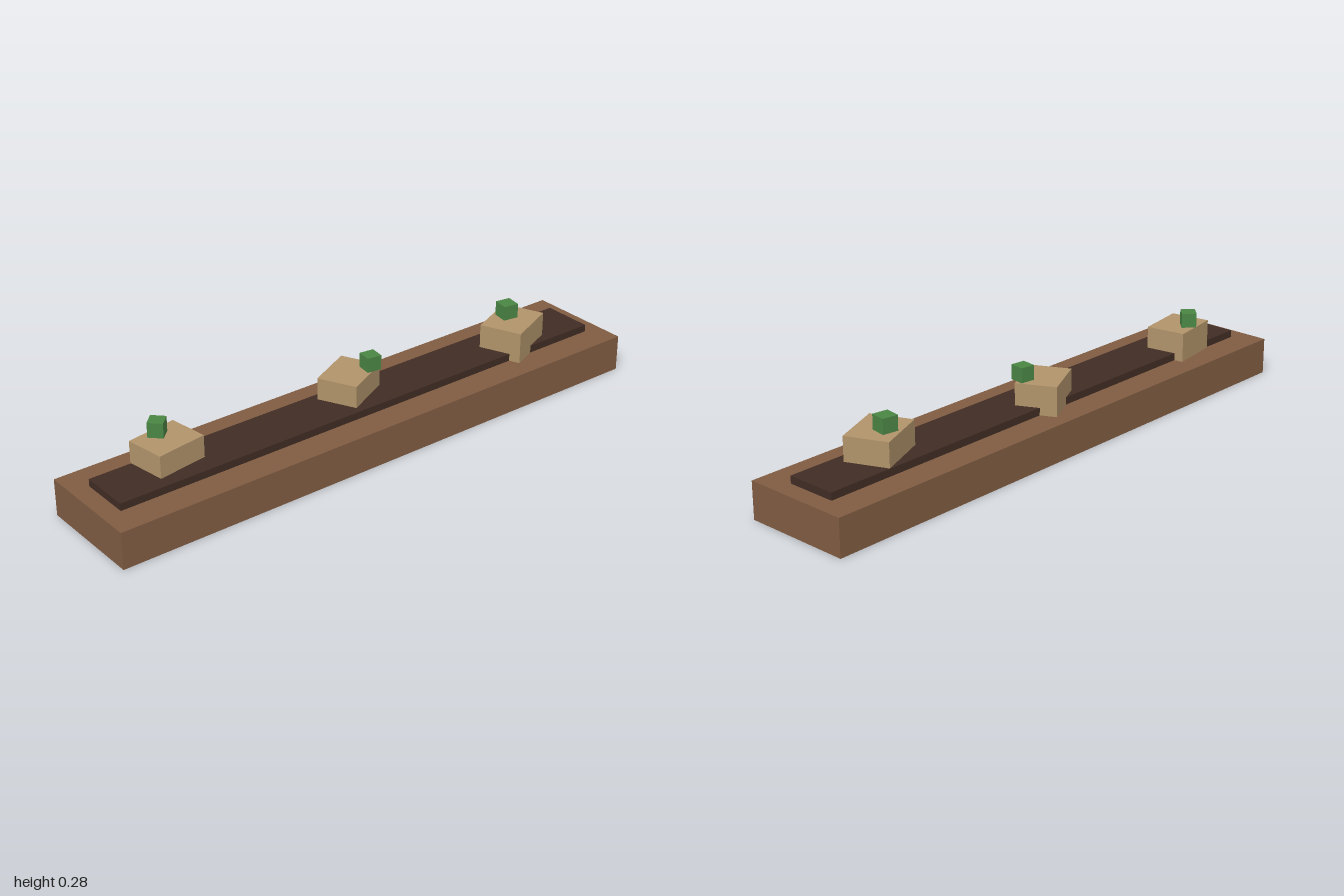
import * as THREE from 'three';

function mat(name, color, side = THREE.FrontSide) {
  const m = new THREE.MeshStandardMaterial({ color, side });
  m.name = name;
  return m;
}

// Box resting on height y, turned about the vertical axis
function block(name, [w, h, d], [x, y, z], turn, material) {
  const mesh = new THREE.Mesh(new THREE.BoxGeometry(w, h, d), material);
  mesh.name = name;
  mesh.position.set(x, y + h / 2, z);
  mesh.rotation.y = turn;
  return mesh;
}

export function createModel() {
  const model = new THREE.Group();
  model.name = 'planterBox';

  const wood = mat('wood', 0x805c42, THREE.DoubleSide);
  const soil = mat('soil', 0x402c24);
  const clay = mat('tan', 0xb0936a);
  const leaf = mat('green', 0x4a8544);

  // Hollow trough, open underneath: drop the bottom face of the box
  const rim = 0.125;
  const trough = block('trough', [2, rim, 0.375], [0, 0, 0], 0, wood);
  const index = Array.from(trough.geometry.index.array);
  index.splice(18, 6);
  trough.geometry.setIndex(index);
  trough.geometry.clearGroups();
  model.add(trough);

  // Raised bed of soil
  model.add(block('soilBed', [1.876, 0.025, 0.175], [0, rim, 0], 0, soil));

  // Turned blocks, each with a small sprout on top
  const plants = [
    { x: -0.695, z: -0.037, turn: 0.155, size: 1, sprout: [-0.703, -0.074], sproutTurn: 0.78 },
    { x: -0.004, z: -0.037, turn: 0.46, size: 1, sprout: [0.064, -0.011], sproutTurn: -0.13 },
    { x: 0.654, z: 0.018, turn: 0.4, size: 1.07, sprout: [0.655, -0.011], sproutTurn: -0.15 },
  ];
  plants.forEach(({ x, z, turn, size, sprout, sproutTurn }) => {
    const plant = new THREE.Group();
    plant.name = 'plant';
    const h = 0.1 * size, s = 0.05 * size;
    plant.add(block('pot', [0.175 * size, h, 0.1375 * size], [x, rim, z], turn, clay));
    plant.add(block('sprout', [s, 0.05, s], [sprout[0], rim + h, sprout[1]], sproutTurn, leaf));
    model.add(plant);
  });

  return model;
}
